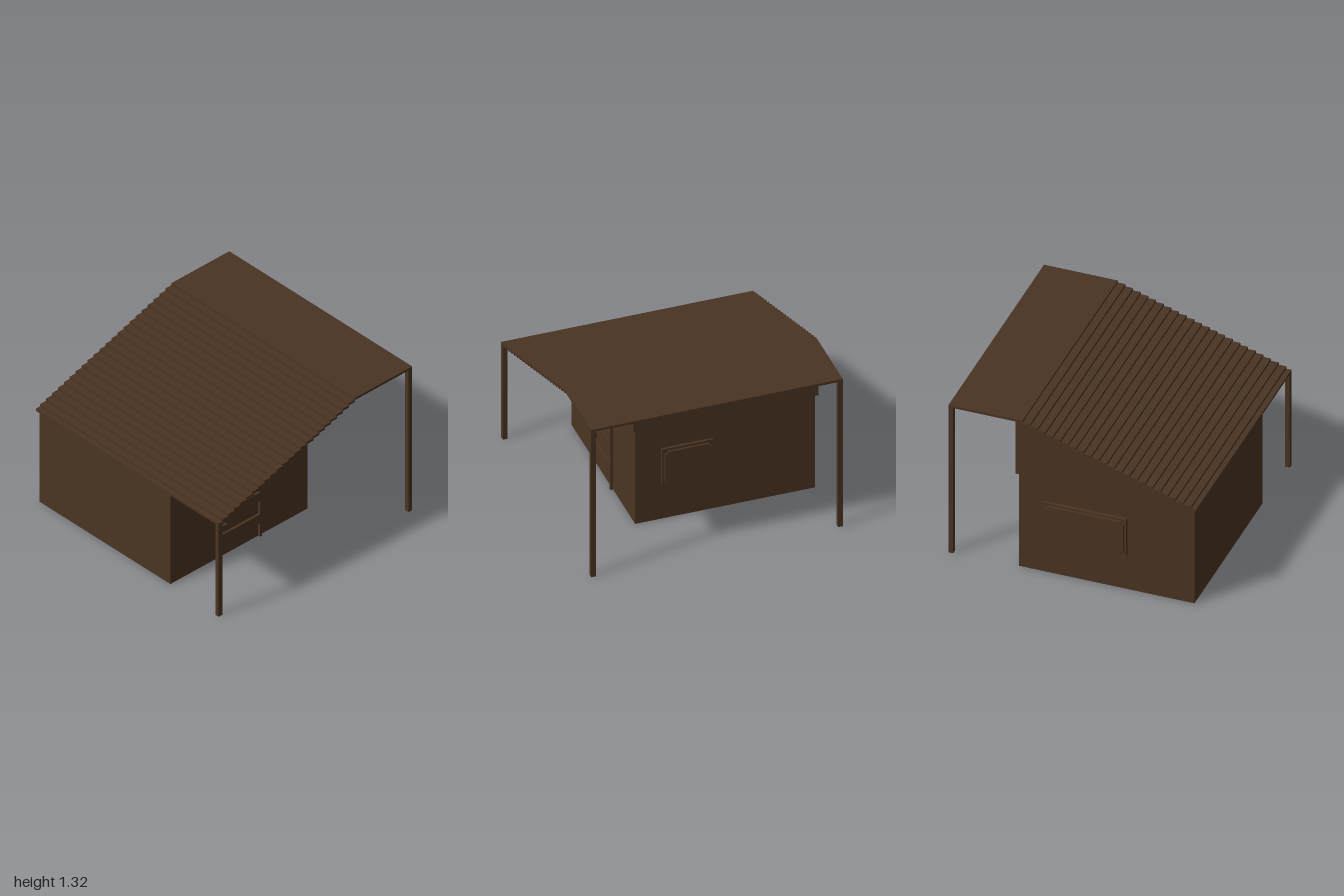
import * as THREE from 'three';

export function createModel() {
  const model = new THREE.Group();
  model.name = 'shed';
  const wood = new THREE.MeshStandardMaterial({ color: 0x4a3423 });
  wood.name = 'darkBrownWood';

  // Box from its min and max corners
  function box(parent, name, x0, x1, y0, y1, z0, z1) {
    const mesh = new THREE.Mesh(new THREE.BoxGeometry(x1 - x0, y1 - y0, z1 - z0), wood);
    mesh.position.set((x0 + x1) / 2, (y0 + y1) / 2, (z0 + z1) / 2);
    mesh.name = name;
    parent.add(mesh);
    return mesh;
  }
  function extrude(parent, name, points, depth) {
    const shape = new THREE.Shape(points.map(([x, y]) => new THREE.Vector2(x, y)));
    const mesh = new THREE.Mesh(new THREE.ExtrudeGeometry(shape, { depth, bevelEnabled: false }), wood);
    mesh.name = name;
    parent.add(mesh);
    return mesh;
  }
  function group(name) {
    const g = new THREE.Group();
    g.name = name;
    model.add(g);
    return g;
  }

  // Walls and the slightly overhanging gable block
  box(model, 'walls', -0.96, 0.43, 0, 0.832, -0.96, 0.455);
  const gable = extrude(model, 'gable',
    [[-0.98, 0.832], [0.45, 0.832], [0.45, 1.3], [0.395, 1.295], [-0.94, 0.85], [-0.98, 0.84]], 1.455);
  gable.position.z = -0.98;

  // Stepped roof slats, rising to the flat canopy
  const roof = group('roof');
  const pitch = 1.335 / 22, rise = 0.0203;
  for (let i = 0; i < 23; i++) {
    const start = i === 0 ? -0.98 : -0.94 + (i - 1) * pitch;
    const y = 0.832 + i * rise;
    box(roof, 'roofSlat', start, -0.94 + i * pitch + 0.008, y, y + rise, -0.98, 1);
  }
  box(roof, 'canopy', 0.395, 0.98, 1.297, 1.317, -0.98, 1);

  // Posts
  const posts = group('posts');
  box(posts, 'frontRightPost', -0.98, -0.943, 0, 0.84, 0.963, 1);
  box(posts, 'frontLeftPost', 0.943, 0.98, 0, 1.3, 0.963, 1);
  box(posts, 'backLeftPost', 0.943, 0.98, 0, 1.3, -0.98, -0.943);

  // Door: stiles, rails and latch over recessed panels
  const door = group('door');
  box(door, 'doorStile', -0.5, -0.48, 0, 0.69, 0.45, 0.475);
  box(door, 'doorStile', -0.07, -0.05, 0, 0.69, 0.45, 0.475);
  const rails = [[0.125, 0.205], [0.325, 0.405], [0.425, 0.48], [0.565, 0.645], [0.67, 0.69]];
  for (const [low, high] of rails) box(door, 'doorRail', -0.48, -0.07, low, high, 0.45, 0.475);
  box(door, 'doorLatch', -0.48, -0.4, 0.245, 0.285, 0.45, 0.475);

  // Window facing +z: frame with a notched raised pane
  function windowUnit(name, width) {
    const g = group(name);
    const w = width / 2, h = 0.1625, px = w - 0.018, py = h - 0.02, n = 0.02;
    box(g, 'windowFrame', -w, w, -h, h, -0.01, 0.022);
    const pane = extrude(g, 'windowPane', [
      [-px + n, -py], [px - n, -py], [px - n, -py + n], [px, -py + n],
      [px, py - n], [px - n, py - n], [px - n, py], [-px + n, py],
      [-px + n, py - n], [-px, py - n], [-px, -py + n], [-px + n, -py + n],
    ], 0.018);
    pane.position.z = 0.02;
    return g;
  }
  const side = windowUnit('sideWindow', 0.4);
  side.position.set(0.43, 0.468, 0.05);
  side.rotation.y = Math.PI / 2;
  const back = windowUnit('backWindow', 0.656);
  back.position.set(-0.1, 0.468, -0.962);
  back.rotation.y = Math.PI;

  return model;
}
